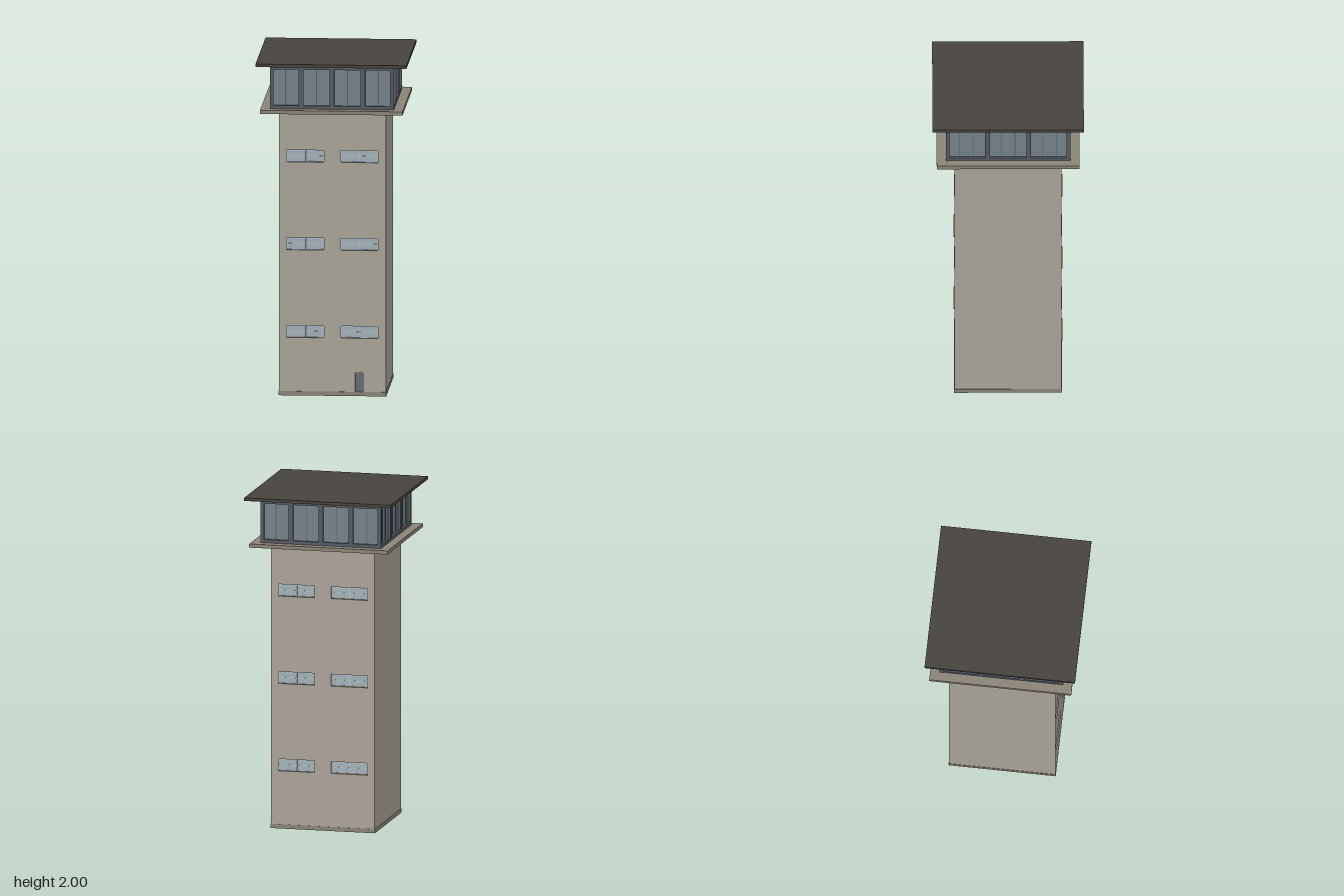
import * as THREE from 'three';

const mat = (color) => new THREE.MeshStandardMaterial({ color });
const wallMat = mat(0xaaa498), trimMat = mat(0x8a8477), roofMat = mat(0x47433e);
const frameMat = mat(0x555b63), cabGlassMat = mat(0x75828a);
const glassMat = mat(0xa3b1b8), paleMat = mat(0xb4c4cc), doorMat = mat(0x666c74);

function box(parent, name, material, w, h, d, x, y, z) {
  const mesh = new THREE.Mesh(new THREE.BoxGeometry(w, h, d), material);
  mesh.name = name;
  mesh.position.set(x, y, z);
  parent.add(mesh);
  return mesh;
}

const HALF = 0.315, TOP = 1.70, RECESS = 0.015, BASE = 0.025;
const WIN = { w: 0.22, h: 0.072, xs: [-0.16, 0.16], ys: [0.381, 0.905, 1.43] };
const DOOR = { x: 0.157, w: 0.046, h: 0.112 };

function rectHole(x0, y0, w, h) {
  const p = new THREE.Path();
  p.moveTo(x0, y0);
  p.lineTo(x0, y0 + h);
  p.lineTo(x0 + w, y0 + h);
  p.lineTo(x0 + w, y0);
  p.closePath();
  return p;
}

// Recessed strip window with frame, crossbars and projecting sill
function addWindow(parent, x, y) {
  const g = new THREE.Group();
  g.name = 'window';
  g.position.set(x, y, HALF - RECESS);
  parent.add(g);
  const { w, h } = WIN, t = 0.004;
  box(g, 'windowGlass', glassMat, w, h, 0.004, 0, 0, 0.001);
  for (const s of [-1, 1]) {
    box(g, 'windowFrameRail', paleMat, w, t, 0.006, 0, s * (h - t) / 2, 0.002);
    box(g, 'windowFrameStile', paleMat, t, h, 0.006, s * (w - t) / 2, 0, 0.002);
  }
  box(g, 'windowMullion', paleMat, t, h, 0.006, 0, 0, 0.002);
  box(g, 'windowTransom', paleMat, w, 0.003, 0.005, 0, 0, 0.002);
  box(g, 'windowSill', trimMat, w, 0.004, RECESS + 0.004, 0, -h / 2, (RECESS + 0.004) / 2);
}

// Facade panel with window openings, and a doorway on the front only
function makeFacade(hasDoor) {
  const g = new THREE.Group();
  g.name = hasDoor ? 'frontFacade' : 'backFacade';
  const shape = new THREE.Shape();
  shape.moveTo(-HALF, BASE);
  shape.lineTo(HALF, BASE);
  shape.lineTo(HALF, TOP);
  shape.lineTo(-HALF, TOP);
  shape.closePath();
  for (const x of WIN.xs) {
    for (const y of WIN.ys) {
      shape.holes.push(rectHole(x - WIN.w / 2, y - WIN.h / 2, WIN.w, WIN.h));
      addWindow(g, x, y);
    }
  }
  if (hasDoor) {
    const y0 = BASE + 0.001, z = HALF - RECESS;
    shape.holes.push(rectHole(DOOR.x - DOOR.w / 2, y0, DOOR.w, DOOR.h));
    box(g, 'door', doorMat, DOOR.w, DOOR.h, 0.01, DOOR.x, y0 + DOOR.h / 2, z);
    box(g, 'doorHandle', frameMat, 0.004, 0.008, 0.006, DOOR.x + 0.015, y0 + 0.05, z + 0.007);
  }
  const panel = new THREE.Mesh(
    new THREE.ExtrudeGeometry(shape, { depth: RECESS, bevelEnabled: false }), wallMat);
  panel.name = 'facadeWall';
  panel.position.z = HALF - RECESS;
  g.add(panel);
  return g;
}

const CAB = { half: 0.365, y0: 1.72, y1: 1.985 };

// One glazed side of the lookout cab: main posts plus thin glazing bars
function makeCabSide(bays, panes) {
  const g = new THREE.Group();
  g.name = 'cabSide';
  const { half, y0, y1 } = CAB, H = y1 - y0, cy = (y0 + y1) / 2;
  box(g, 'cabBottomRail', frameMat, 2 * half, 0.02, 0.02, 0, y0 + 0.01, half - 0.01);
  box(g, 'cabTopRail', frameMat, 2 * half, 0.03, 0.02, 0, y1 - 0.015, half - 0.01);
  const bay = 2 * half / bays;
  for (let i = 1; i < bays; i++) {
    box(g, 'cabPost', frameMat, 0.028, H, 0.02, -half + i * bay, cy, half - 0.01);
  }
  for (let i = 0; i < bays; i++) {
    for (let j = 1; j < panes; j++) {
      const x = -half + (i + j / panes) * bay;
      box(g, 'glazingBar', frameMat, 0.004, H - 0.04, 0.006, x, cy, half - 0.014);
    }
  }
  return g;
}

export function createModel() {
  const model = new THREE.Group();
  model.name = 'watchTower';

  // Shaft
  box(model, 'base', trimMat, 0.634, BASE, 0.634, 0, BASE / 2, 0);
  box(model, 'shaft', wallMat, 2 * HALF, TOP - BASE, 2 * (HALF - RECESS), 0, (TOP + BASE) / 2, 0);
  const back = makeFacade(false);
  back.rotation.y = Math.PI;
  model.add(makeFacade(true), back);

  // Balcony slab
  box(model, 'balconySlab', trimMat, 0.84, 0.022, 0.84, 0, 1.709, 0);

  // Lookout cab
  const cab = new THREE.Group();
  cab.name = 'lookoutCab';
  model.add(cab);
  const { half, y0, y1 } = CAB, inner = 2 * (half - 0.015);
  box(cab, 'cabGlass', cabGlassMat, inner, y1 - y0, inner, 0, (y0 + y1) / 2, 0);
  for (let i = 0; i < 4; i++) {
    const side = i % 2 ? makeCabSide(3, 3) : makeCabSide(4, 2);
    side.rotation.y = i * Math.PI / 2;
    cab.add(side);
  }
  for (const sx of [-1, 1]) {
    for (const sz of [-1, 1]) {
      box(cab, 'cornerPost', frameMat, 0.022, y1 - y0, 0.022,
        sx * (half - 0.01), (y0 + y1) / 2, sz * (half - 0.01));
    }
  }

  // Flat roof
  box(model, 'roof', roofMat, 0.89, 0.018, 0.89, 0, 1.991, 0);
  return model;
}
